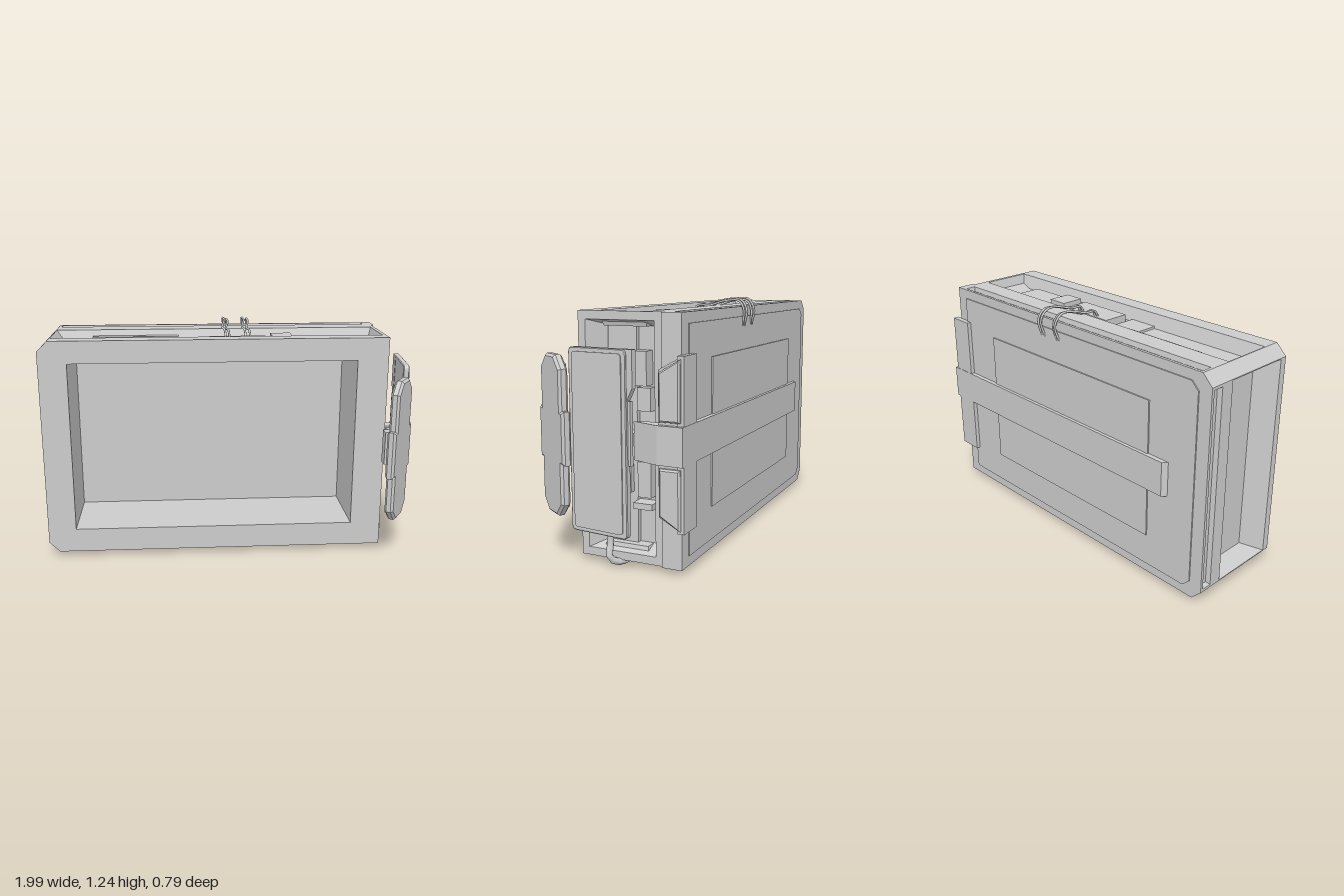
import * as THREE from 'three';

const mat = new THREE.MeshStandardMaterial({ color: 0xcccccc, flatShading: true });
const shellMat = new THREE.MeshStandardMaterial({ color: 0xcccccc, flatShading: true, side: THREE.DoubleSide });
const V = (x, y, z) => new THREE.Vector3(x, y, z);
const shapeOf = (pts) => new THREE.Shape(pts.map(([x, y]) => new THREE.Vector2(x, y)));
const rect = (x0, x1, y0, y1) => [[x0, y0], [x1, y0], [x1, y1], [x0, y1]];

function add(parent, name, geo, material = mat) {
  const m = new THREE.Mesh(geo, material);
  m.name = name;
  parent.add(m);
  return m;
}

function box(parent, name, x0, x1, y0, y1, z0, z1) {
  const m = add(parent, name, new THREE.BoxGeometry(x1 - x0, y1 - y0, z1 - z0));
  m.position.set((x0 + x1) / 2, (y0 + y1) / 2, (z0 + z1) / 2);
  return m;
}

// four-cornered loops joined into stepped walls, the last loop capped as a floor
function steppedPanel(loops, flip) {
  const pos = [];
  const quad = (a, b, c, d) => {
    const order = flip ? [a, c, b, a, d, c] : [a, b, c, a, c, d];
    order.forEach((p) => pos.push(p.x, p.y, p.z));
  };
  for (let i = 0; i + 1 < loops.length; i++)
    for (let k = 0; k < 4; k++) {
      const n = (k + 1) % 4;
      quad(loops[i][k], loops[i][n], loops[i + 1][n], loops[i + 1][k]);
    }
  quad(...loops[loops.length - 1]);
  const g = new THREE.BufferGeometry();
  g.setAttribute('position', new THREE.Float32BufferAttribute(pos, 3));
  g.computeVertexNormals();
  return g;
}

// outline in x,z pulled up along y
function extrudeY(pts, y0, y1) {
  const g = new THREE.ExtrudeGeometry(shapeOf(pts.map(([x, z]) => [x, -z])), { depth: y1 - y0, bevelEnabled: false });
  return g.rotateX(-Math.PI / 2).translate(0, y0, 0);
}

// outline in -z,y pulled along x, with an optional bevel
function extrudeX(shape, x0, x1, bevel = 0) {
  const g = new THREE.ExtrudeGeometry(shape, {
    depth: x1 - x0 - 2 * bevel, bevelEnabled: bevel > 0, bevelThickness: bevel, bevelSize: bevel,
    bevelOffset: -bevel, bevelSegments: 1, curveSegments: 4,
  });
  return g.rotateY(Math.PI / 2).translate(x0 + bevel, 0, 0);
}

function roundedRect(x0, x1, y0, y1, r) {
  const s = new THREE.Shape();
  s.moveTo(x0 + r, y0).lineTo(x1 - r, y0).quadraticCurveTo(x1, y0, x1, y0 + r);
  s.lineTo(x1, y1 - r).quadraticCurveTo(x1, y1, x1 - r, y1);
  s.lineTo(x0 + r, y1).quadraticCurveTo(x0, y1, x0, y1 - r);
  s.lineTo(x0, y0 + r).quadraticCurveTo(x0, y0, x0 + r, y0);
  return s;
}

function tube(parent, name, pts, r, seg) {
  const curve = new THREE.CatmullRomCurve3(pts.map((p) => V(...p)), false, 'centripetal');
  const m = add(parent, name, new THREE.TubeGeometry(curve, seg, r, 8, false));
  m.material = new THREE.MeshStandardMaterial({ color: 0xcccccc, side: THREE.DoubleSide });
}

const X0 = -1, Y0 = 0.03, Y1 = 1.2, C = 0.055;
const outline = (xr) => [[X0 + C, Y0], [xr, Y0], [xr, Y1], [X0 + C, Y1], [X0, Y1 - C], [X0, Y0 + C]];

// one wall of a block; each step is [u0, u1, z0, z1, depth]
function wall(parent, side, xr, steps) {
  const at = {
    top: (u, z, d) => V(u, Y1 - d, z), bottom: (u, z, d) => V(u, Y0 + d, z),
    left: (u, z, d) => V(xr - d, u, z), right: (u, z, d) => V(X0 + d, u, z),
  }[side];
  const loops = steps.map(([u0, u1, z0, z1, d]) => [at(u0, z1, d), at(u1, z1, d), at(u1, z0, d), at(u0, z0, d)]);
  add(parent, side + 'Wall', steppedPanel(loops, side === 'bottom' || side === 'left'), shellMat);
}

function chamfers(parent, z0, z1) {
  for (const [y, ye] of [[Y1, Y1 - C], [Y0, Y0 + C]]) {
    const loop = [V(X0, ye, z1), V(X0 + C, y, z1), V(X0 + C, y, z0), V(X0, ye, z0)];
    add(parent, 'cornerChamfer', steppedPanel([loop], y === Y0), shellMat);
  }
}

function buildHousing(root) {
  // front block with open cavity and sunken sides
  const front = new THREE.Group();
  front.name = 'frontHousing';
  root.add(front);
  const xr = 0.835, zb = -0.27, zf = 0.165;
  const face = shapeOf(outline(xr));
  face.holes.push(new THREE.Path(rect(-0.85, 0.67, 0.16, 1.08).map(([x, y]) => new THREE.Vector2(x, y))));
  add(front, 'frontFrame', new THREE.ShapeGeometry(face).translate(0, 0, zf), shellMat);
  add(front, 'cavity', steppedPanel([zf, -0.24].map((z) => rect(-0.85, 0.67, 0.16, 1.08).map(([x, y]) => V(x, y, z)))), shellMat);
  for (const s of ['top', 'bottom'])
    wall(front, s, xr, [[X0 + C, xr, zb, zf, 0], [-0.94, 0.815, -0.19, 0.075, 0], [-0.89, 0.795, -0.17, 0.05, 0.07]]);
  wall(front, 'left', xr, [[Y0, Y1, zb, zf, 0], [0.07, 1.16, -0.23, 0.127, 0], [0.1, 1.13, -0.19, 0.055, 0.1]]);
  wall(front, 'right', xr, [[Y0 + C, Y1 - C, zb, zf, 0], [0.09, 1.14, -0.23, 0.127, 0], [0.12, 1.11, -0.19, 0.055, 0.1]]);
  chamfers(front, zb, zf);

  // rear slab with a narrow groove along its edges
  const rear = new THREE.Group();
  rear.name = 'rearHousing';
  root.add(rear);
  const rx = 0.85, rz = -0.37;
  for (const s of ['top', 'bottom'])
    wall(rear, s, rx, [[X0 + C, rx, rz, zb, 0], [-0.93, 0.795, -0.355, -0.3, 0], [-0.925, 0.79, -0.35, -0.305, 0.025]]);
  wall(rear, 'right', rx, [[Y0 + C, Y1 - C, rz, zb, 0], [0.1, 1.13, -0.355, -0.3, 0], [0.105, 1.125, -0.35, -0.305, 0.025]]);
  wall(rear, 'left', rx, [[Y0, Y1, rz, zb, 0]]);
  chamfers(rear, rz, zb);
  for (const z of [zb, rz]) add(rear, 'slabFace', new THREE.ShapeGeometry(shapeOf(outline(rx))).translate(0, 0, z), shellMat);
  const cover = shapeOf([[-0.89, 0.08], [0.78, 0.08], [0.78, 1.15], [-0.89, 1.15], [-0.93, 1.11], [-0.93, 0.12]]);
  add(rear, 'rearCover', new THREE.ExtrudeGeometry(cover, { depth: 0.006, bevelEnabled: false }).translate(0, 0, -0.376));
  box(rear, 'rearPanel', -0.65, 0.53, 0.25, 0.98, -0.383, -0.37);
}

function buildRecessParts(root) {
  const g = new THREE.Group();
  g.name = 'recessParts';
  root.add(g);
  // plates lying in the top and bottom recesses: x0, x1, z0, z1, height
  const plates = [[-0.74, -0.27, -0.17, -0.125, 0.04], [-0.28, -0.12, -0.16, 0.05, 0.012], [-0.1, 0.21, -0.12, 0.02, 0.04],
    [0.235, 0.345, -0.115, 0.01, 0.055], [0.22, 0.62, -0.125, 0.02, 0.03], [0.225, 0.36, -0.05, -0.05 + 0.095, 0.02]];
  for (const [x0, x1, z0, z1, h] of plates) {
    box(g, 'topPlate', x0, x1, 1.12, 1.13 + h, z0, z1);
    box(g, 'bottomPlate', x0, x1, 0.1 - h * 0.4, 0.11, z0, z1);
  }
  // stacked modules in the side recess: y0, y1, z0, z1, outer x
  for (const [y0, y1, z0, z1, x] of [[0.1, 1.13, -0.1, 0.05, 0.76], [0.28, 0.31, -0.2, -0.1, 0.81], [0.33, 0.5, -0.18, -0.11, 0.78],
    [0.74, 0.85, -0.18, -0.11, 0.78], [0.86, 1.02, -0.17, -0.02, 0.8], [0.35, 0.48, -0.08, 0.03, 0.79]])
    box(g, 'sideModule', 0.73, x, y0, y1, z0, z1);
}

function buildStrap(root) {
  const g = new THREE.Group();
  g.name = 'rearStrap';
  root.add(g);
  add(g, 'strap', extrudeY([[-0.78, -0.37], [0.84, -0.37], [0.84, -0.4], [-0.755, -0.4]], 0.525, 0.705));
  add(g, 'strapArm', extrudeY([[0.83, -0.18], [0.85, -0.13], [0.9, -0.27], [0.905, -0.4], [0.83, -0.4]], 0.525, 0.705));
  // tapered wings above and below the strap, mirrored about its middle
  for (const s of [1, -1]) {
    const y = (d) => 0.615 + s * d;
    const wing = shapeOf([[0.27, y(0.09)], [0.39, y(0.09)], [0.39, y(0.4)], [0.27, y(0.335)]]);
    add(g, 'bracketWing', extrudeX(wing, 0.84, 0.88));
    const pad = shapeOf([[0.28, y(0.105)], [0.383, y(0.105)], [0.383, y(0.385)], [0.28, y(0.325)]]);
    add(g, 'bracketPad', extrudeX(pad, 0.875, 0.905, 0.008));
    const [a, b] = [y(0.09), y(0.4)].sort((p, q) => p - q);
    box(g, 'bracketBack', 0.75, 0.885, a, b, -0.398, -0.365);
  }
}

function buildSidePanels(root) {
  // flat screen tilted beside the housing
  const screen = new THREE.Group();
  screen.name = 'sideScreen';
  screen.position.set(0.96, 0.617, -0.025);
  screen.rotation.y = -0.11;
  root.add(screen);
  add(screen, 'screenBody', extrudeX(roundedRect(-0.17, 0.145, -0.427, 0.427, 0.025), -0.018, 0.014, 0.004));
  add(screen, 'screenFace', extrudeX(roundedRect(-0.148, 0.122, -0.407, 0.407, 0.02), 0.012, 0.019));
  add(screen, 'screenFlange', extrudeX(shapeOf([[0.1, 0.19], [0.14, 0.19], [0.175, 0.26], [0.175, 0.427], [0.1, 0.427]]), -0.02, 0.008));
  add(screen, 'screenSpine', extrudeX(shapeOf(rect(0.1, 0.158, -0.09, 0.2)), -0.02, 0));

  // long eight-sided panel with a wider waist
  const pod = new THREE.Group();
  pod.name = 'angledPanel';
  pod.position.set(0.885, 0.617, 0.27);
  pod.rotation.y = -0.58;
  root.add(pod);
  const quarter = [[0.135, 0.127], [0.11, 0.127], [0.11, 0.32], [0.05, 0.383]];
  const flip = (pts, sx, sy) => pts.map(([x, y]) => [x * sx, y * sy]);
  const loop = [...quarter, ...flip(quarter, -1, 1).reverse(), ...flip(quarter, -1, -1), ...flip(quarter, 1, -1).reverse()];
  add(pod, 'panelBody', extrudeX(shapeOf(loop), -0.024, 0.024, 0.012));
  for (const s of [1, -1]) {
    const [a, b] = [s * 0.12, s * 0.34].sort((p, q) => p - q);
    add(pod, 'panelRearPad', extrudeX(shapeOf(rect(-0.07, 0.07, a, b)), -0.032, -0.02));
  }

  // mounts and arms
  const arms = new THREE.Group();
  arms.name = 'mountArms';
  root.add(arms);
  box(arms, 'mountBlock', 0.73, 0.92, 0.56, 0.68, -0.035, 0.03);
  add(arms, 'panelArm', extrudeY([[0.875, 0.02], [0.9, 0.02], [0.9, 0.11], [0.865, 0.24], [0.835, 0.23], [0.88, 0.1]], 0.57, 0.67));
  box(arms, 'panelClamp', 0.815, 0.87, 0.53, 0.71, 0.205, 0.26);
  box(arms, 'screenArm', 0.73, 0.955, 0.59, 0.65, -0.13, -0.09);
}

function buildCables(root) {
  tube(root, 'bottomPipe', [[0.8, 0.36, 0.01], [0.85, 0.28, 0], [0.85, 0.18, 0], [0.855, 0.1, 0], [0.872, 0.05, -0.005], [0.84, 0.02, -0.035],
    [0.67, 0.05, -0.1], [0.2, 0.06, -0.1], [-0.75, 0.06, -0.1], [-0.8, 0.1, -0.1]], 0.017, 64);
  const clip = box(root, 'pipeClip', -0.3, -0.26, 0.035, 0.11, -0.14, -0.06);
  clip.rotation.y = 0.2;
  for (const [x, lift] of [[-0.015, 0], [0.005, -0.008], [0.095, 0], [0.12, -0.006]])
    tube(root, 'topCable', [[x + 0.005, 1.15, -0.09], [x, 1.2, -0.12], [x - 0.01, 1.21 + lift, -0.19], [x + 0.005, 1.234 + lift, -0.28],
      [x, 1.234 + lift, -0.355], [x + 0.005, 1.18, -0.39 - lift], [x - 0.005, 1.1, -0.372]], 0.006, 24);
}

export function createModel() {
  const root = new THREE.Group();
  root.name = 'equipmentUnit';
  buildHousing(root);
  buildRecessParts(root);
  buildStrap(root);
  buildSidePanels(root);
  buildCables(root);
  return root;
}
